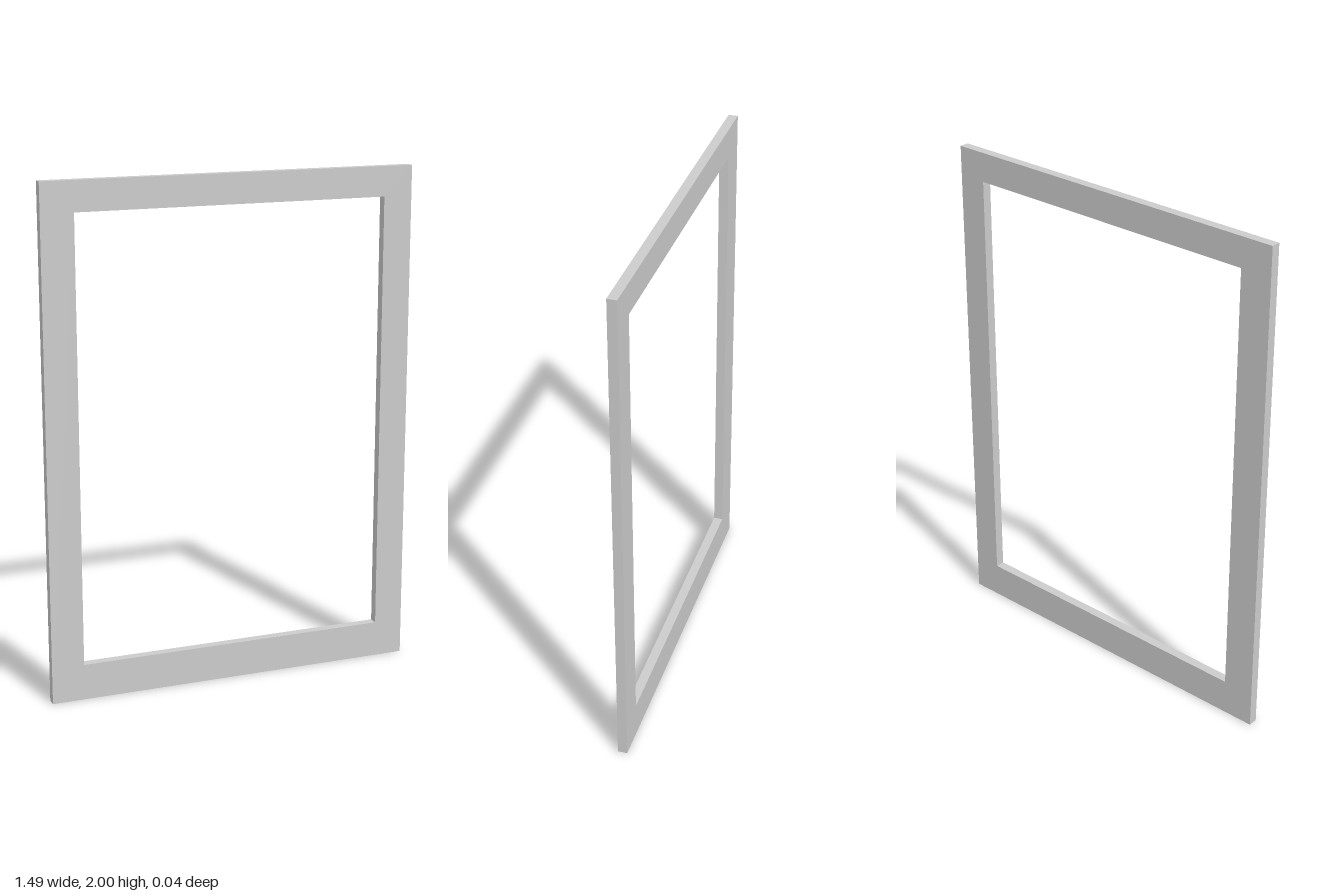
import * as THREE from 'three';

// Rectangle outline between two corners
function rect(target, x0, y0, x1, y1) {
  target.moveTo(x0, y0);
  target.lineTo(x1, y0);
  target.lineTo(x1, y1);
  target.lineTo(x0, y1);
  target.closePath();
  return target;
}

export function createModel() {
  const group = new THREE.Group();
  group.name = 'rectangularFrame';
  const depth = 0.037;

  // Flat frame: outer border with a slightly off-centre opening
  const outline = rect(new THREE.Shape(), -0.743, 0, 0.743, 2);
  outline.holes.push(rect(new THREE.Path(), -0.615, 0.142, 0.627, 1.883));

  const geometry = new THREE.ExtrudeGeometry(outline, { depth, bevelEnabled: false });
  geometry.translate(0, 0, -depth / 2);

  const frame = new THREE.Mesh(
    geometry,
    new THREE.MeshStandardMaterial({ color: 0xcccccc, flatShading: true })
  );
  frame.name = 'frame';
  group.add(frame);
  return group;
}
